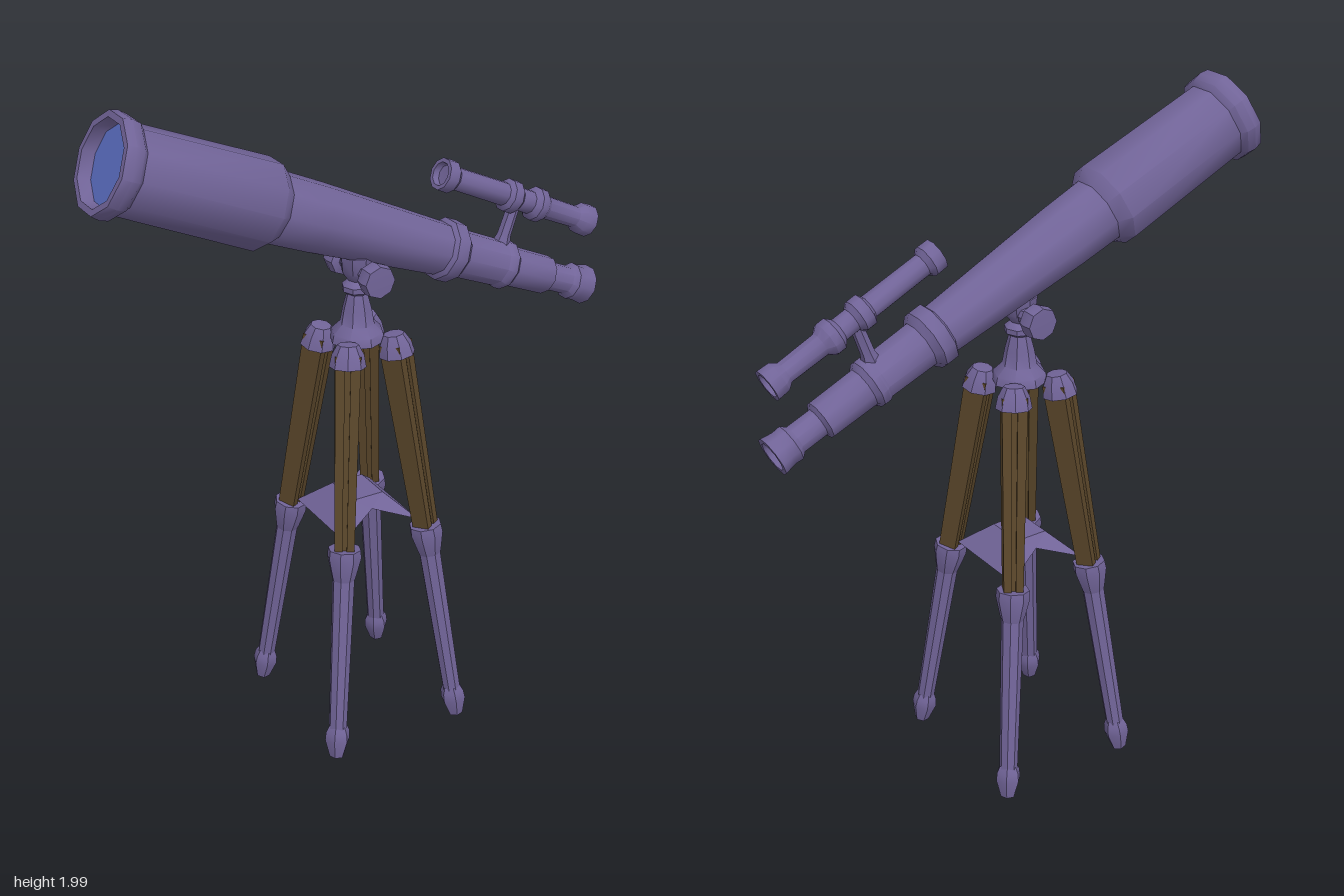
import * as THREE from 'three';
import { toCreasedNormals } from 'three/addons/utils/BufferGeometryUtils.js';

const UP = new THREE.Vector3(0, 1, 0);
const V = (x, y, z = 0) => new THREE.Vector3(x, y, z);

export function createModel() {
  const metal = new THREE.MeshStandardMaterial({ color: 0x716498 });
  metal.name = 'purpleMetal';
  const wood = new THREE.MeshStandardMaterial({ color: 0x5a462a });
  wood.name = 'darkWood';
  const glass = new THREE.MeshStandardMaterial({ color: 0x5a6cc0 });
  glass.name = 'blueGlass';
  const metalSheet = metal.clone();
  metalSheet.name = 'purpleMetalSheet';
  metalSheet.side = THREE.DoubleSide;

  const model = new THREE.Group();
  model.name = 'telescope';

  // Turned part: profile of [radius, distance] pairs
  function turned(parent, name, profile, sides = 10, material = metal) {
    const geo = new THREE.LatheGeometry(profile.map(([r, t]) => new THREE.Vector2(r, t)), sides);
    const mesh = new THREE.Mesh(toCreasedNormals(geo, 0.7), material);
    mesh.name = name;
    parent.add(mesh);
    return mesh;
  }

  // Group whose local y axis runs from one point towards another
  function along(parent, name, from, to) {
    const group = new THREE.Group();
    group.name = name;
    group.position.copy(from);
    group.quaternion.setFromUnitVectors(UP, to.clone().sub(from).normalize());
    parent.add(group);
    return group;
  }

  // Main tube, from the wide front to the eyepiece
  const main = along(model, 'mainTube', V(-0.74, 1.872), V(0.775, 1.217));
  turned(main, 'dewShield', [
    [0.106, 0.05], [0.116, 0], [0.134, 0], [0.139, 0.025], [0.135, 0.05], [0.12, 0.065],
    [0.127, 0.48], [0.1, 0.515],
  ]);
  turned(main, 'frontLens', [[0, 0.035], [0.112, 0.035]], 10, glass);
  turned(main, 'opticalTube', [[0.1, 0.5], [0.097, 0.65], [0.076, 1.09], [0.076, 1.12]]);
  turned(main, 'tubeRing', [[0.074, 1.08], [0.09, 1.09], [0.09, 1.13], [0.07, 1.15]]);
  turned(main, 'focuser', [
    [0.07, 1.13], [0.067, 1.3], [0.073, 1.31], [0.073, 1.33], [0.059, 1.345], [0.057, 1.49], [0.04, 1.5],
  ]);
  turned(main, 'eyepiece', [
    [0.042, 1.48], [0.042, 1.575], [0.055, 1.59], [0.053, 1.615], [0.059, 1.65], [0.044, 1.65], [0.036, 1.61],
  ]);
  turned(main, 'eyepieceLens', [[0.042, 1.625], [0, 1.625]], 10, glass);

  // Finder scope and its bracket
  const finder = along(model, 'finderScope', V(0.257, 1.662), V(0.775, 1.421));
  turned(finder, 'finderBody', [
    [0, 0.02], [0.03, 0.018], [0.034, 0], [0.046, 0], [0.047, 0.035], [0.033, 0.05], [0.034, 0.235],
    [0.048, 0.245], [0.048, 0.275], [0.034, 0.29], [0.034, 0.335], [0.05, 0.35], [0.05, 0.375],
    [0.034, 0.395], [0.032, 0.515], [0.046, 0.535], [0.048, 0.571], [0.036, 0.571], [0.03, 0.54],
  ]);
  turned(finder, 'finderLens', [[0.035, 0.55], [0, 0.55]], 10, glass);
  const bracket = along(model, 'finderBracket', V(0.465, 1.4), V(0.515, 1.54));
  turned(bracket, 'bracketPost', [[0.03, 0], [0.02, 0.04], [0.018, 0.14]], 6);

  // Pivot head with a knob on each side
  const tripod = new THREE.Group();
  tripod.name = 'tripod';
  tripod.position.x = -0.01;
  model.add(tripod);
  turned(tripod, 'head', [
    [0, 1.235], [0.08, 1.225], [0.075, 1.25], [0.05, 1.275], [0.042, 1.32], [0.03, 1.365],
    [0.044, 1.375], [0.044, 1.39], [0.026, 1.405], [0.045, 1.43], [0.05, 1.48], [0.03, 1.5],
  ], 8);
  for (const side of [1, -1]) {
    const knob = along(tripod, 'tiltKnob', V(0.005, 1.435, 0), V(0.005, 1.435, side));
    turned(knob, 'knob', [
      [0.025, 0], [0.025, 0.065], [0.046, 0.072], [0.05, 0.095], [0.046, 0.118], [0, 0.12],
    ], 8);
  }

  // Box that narrows towards its lower end
  function board(parent, name, width, depth, length, x) {
    const geo = new THREE.BoxGeometry(width, length, depth);
    geo.translate(x, 0, 0);
    const p = geo.attributes.position;
    for (let i = 0; i < p.count; i++) {
      const k = p.getY(i) > 0 ? 0.78 : 1;
      p.setXYZ(i, p.getX(i) * k, p.getY(i) + length / 2, p.getZ(i) * k);
    }
    geo.computeVertexNormals();
    const mesh = new THREE.Mesh(geo, wood);
    mesh.name = name;
    parent.add(mesh);
  }

  // Four splayed legs
  for (const sx of [1, -1]) for (const sz of [1, -1]) {
    const top = V(0.076 * sx, 1.225, 0.08 * sz);
    const knee = V(0.14 * sx, 0.62, 0.165 * sz);
    const foot = V(0.21 * sx, 0, 0.238 * sz);

    const upper = along(tripod, 'upperLeg', top, knee);
    upper.rotateY(Math.atan2(sx, sz));
    turned(upper, 'legSocket', [
      [0, -0.03], [0.03, -0.028], [0.045, 0], [0.052, 0.035], [0, 0.035],
    ], 8);
    for (const s of [1, -1]) board(upper, 'woodSlat', 0.028, 0.066, 0.59, 0.022 * s);
    board(upper, 'woodCore', 0.03, 0.046, 0.59, 0);

    const lower = along(tripod, 'lowerLeg', knee, foot);
    lower.rotateY(Math.atan2(sx, sz));
    const len = knee.distanceTo(foot);
    turned(lower, 'legClamp', [
      [0, -0.04], [0.048, -0.04], [0.05, -0.015], [0.036, 0.045], [0.031, 0.06],
    ], 8);
    turned(lower, 'legTube', [[0.033, 0.03], [0.027, len - 0.09]], 8);
    turned(lower, 'footTip', [
      [0.027, len - 0.105], [0.036, len - 0.085], [0.038, len - 0.06], [0.022, len - 0.004], [0, len - 0.004],
    ], 6);
  }

  // Spreader: raised centre plate sloping down to the four knees
  const pts = [];
  const quad = (a, b, c, d) => [a, b, c, a, c, d].forEach((v) => pts.push(v.x, v.y, v.z));
  const inner = (sx, sz) => V(0.05 * sx, 0.742, 0.06 * sz);
  const tip = (sx, sz) => V(0.125 * sx, 0.668, 0.14 * sz);
  quad(inner(-1, 1), inner(1, 1), inner(1, -1), inner(-1, -1));
  for (const s of [1, -1]) {
    quad(inner(s, s), tip(s, s), tip(s, -s), inner(s, -s));
    const mid = V(0, 0.712, 0.085 * s);
    quad(inner(-s, s), tip(-s, s), mid, inner(s, s));
    quad(inner(s, s), mid, tip(s, s), inner(s, s));
  }
  const plateGeo = new THREE.BufferGeometry();
  plateGeo.setAttribute('position', new THREE.Float32BufferAttribute(pts, 3));
  plateGeo.computeVertexNormals();
  const plate = new THREE.Mesh(plateGeo, metalSheet);
  plate.name = 'spreaderPlate';
  tripod.add(plate);

  return model;
}
